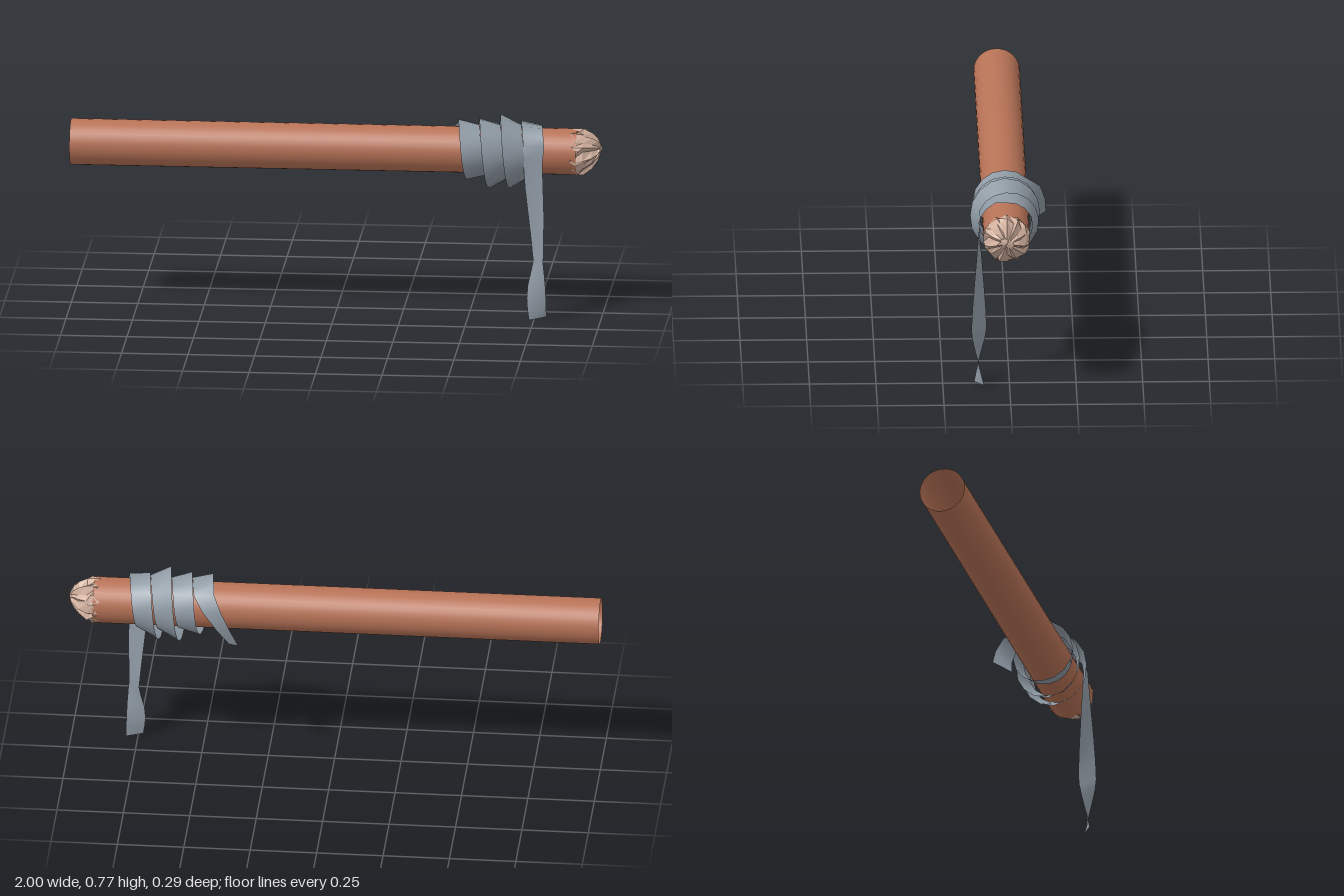
import * as THREE from 'three';

const CY = 0.626, CZ = 0.013, R = 0.087;

// Surface from a grid of points: rows of [x, y, z]
function gridGeometry(rows, closed) {
  const n = rows[0].length, idx = [];
  for (let i = 0; i < rows.length - 1; i++) {
    for (let j = 0; j < (closed ? n : n - 1); j++) {
      const k = (j + 1) % n, a = i * n, b = a + n;
      idx.push(a + j, a + k, b + j, a + k, b + k, b + j);
    }
  }
  const g = new THREE.BufferGeometry();
  g.setAttribute('position', new THREE.Float32BufferAttribute(rows.flat(2), 3));
  g.setIndex(idx);
  g.computeVertexNormals();
  return g;
}

// Whittled end: fluted rings that shrink to a small off-centre ridge
function carvedTip() {
  const N = 22;
  const rings = [ // x, ridge radius, groove radius, lift
    [0.895, 0.089, 0.089, 0],
    [0.93, 0.083, 0.074, 0.001],
    [0.962, 0.064, 0.05, 0.005],
    [0.984, 0.04, 0.026, 0.01],
    [0.994, 0.02, 0.012, 0.012],
    [1.0, 0, 0, 0.013],
  ];
  const rows = rings.map(([x, ridge, groove, lift], i) => {
    const row = [];
    for (let j = 0; j < N; j++) {
      const a = (j + 0.3 * Math.sin(j * 2.3)) / N * Math.PI * 2;
      const odd = j % 2;
      let r = odd ? groove : ridge;
      if (i > 0) r *= 1 + 0.07 * Math.sin(j * 1.9 + i);
      if (i === 4) r = 0.006 + 0.02 * Math.abs(Math.cos(a - 1.1));
      const jag = i === 0 ? (odd ? 0.012 : -0.012) + 0.006 * Math.sin(j * 1.7) : 0;
      row.push([x + jag, CY + lift + r * Math.cos(a), CZ + r * Math.sin(a)]);
    }
    return row;
  });
  return gridGeometry(rows, true);
}

// Ribbon: loose tail, three and a bit turns round the pole, then a twisted hanging end
function ribbonGeometry() {
  const rows = [
    [[0.35, 0.54, -0.145], [0.39, 0.51, -0.08]],
    [[0.382, 0.6, -0.142], [0.435, 0.57, -0.092]],
    [[0.418, 0.665, -0.122], [0.49, 0.645, -0.088]],
  ];
  // Radius of the outer edge at every quarter turn, from the top
  const outer = [0.116, 0.12, 0.112, 0.122, 0.118, 0.125, 0.148, 0.13,
    0.14, 0.132, 0.146, 0.125, 0.11, 0.108, 0.108];
  const perTurn = 16;
  for (let s = -2; s <= 3.2 * perTurn; s++) {
    const t = s / perTurn, a = t * Math.PI * 2;
    const q = Math.max(0, t * 4), k = Math.floor(q);
    const ro = THREE.MathUtils.lerp(outer[k], outer[k + 1], q - k);
    const ri = 0.096 + 0.12 * (ro - 0.108) + 0.003 * Math.sin(a * 1.5);
    const x = 0.496 + 0.079 * t;
    const edge = (dx, r) => [x + dx, CY + r * Math.cos(a), CZ + r * Math.sin(a)];
    rows.push([edge(-0.039, ro), edge(0.039, t > 3 ? ro - 0.004 : ri)]);
  }
  // Hanging end: y, centre x, twist in degrees
  const hang = [[0.6, 0.745, 4], [0.5, 0.75, 16], [0.4, 0.757, 30], [0.3, 0.762, 45], [0.22, 0.765, 54],
    [0.18, 0.763, 42], [0.13, 0.759, 20], [0.08, 0.758, 0], [0.04, 0.76, -16], [0, 0.763, -30]];
  for (const [y, x, deg] of hang) {
    const a = deg * Math.PI / 180, h = 0.036;
    const dx = h * Math.cos(a), dz = h * Math.sin(a), z = 0.114;
    rows.push([[x - dx, y, z - dz], [x + dx, y + (y < 0.01 ? 0.005 : 0), z + dz]]);
  }
  return gridGeometry(rows, false);
}

export function createModel() {
  const wood = new THREE.MeshStandardMaterial({ color: 0xb87357, side: THREE.DoubleSide });
  wood.name = 'reddish wood';
  const cut = new THREE.MeshStandardMaterial({ color: 0xcfae9c, side: THREE.DoubleSide, flatShading: true });
  cut.name = 'pale cut wood';
  const cloth = new THREE.MeshStandardMaterial({ color: 0x8f9aa4, side: THREE.DoubleSide });
  cloth.name = 'grey cloth';

  const group = new THREE.Group();
  const add = (name, geometry, material) => {
    const mesh = new THREE.Mesh(geometry, material);
    mesh.name = name;
    group.add(mesh);
    return mesh;
  };

  // Hollow pole along x
  const pole = add('pole', new THREE.CylinderGeometry(R, R, 1.905, 32, 1, true), wood);
  pole.rotation.z = -Math.PI / 2;
  pole.position.set(-0.0475, CY, CZ);

  add('carvedTip', carvedTip(), cut);
  add('ribbon', ribbonGeometry(), cloth);
  return group;
}
